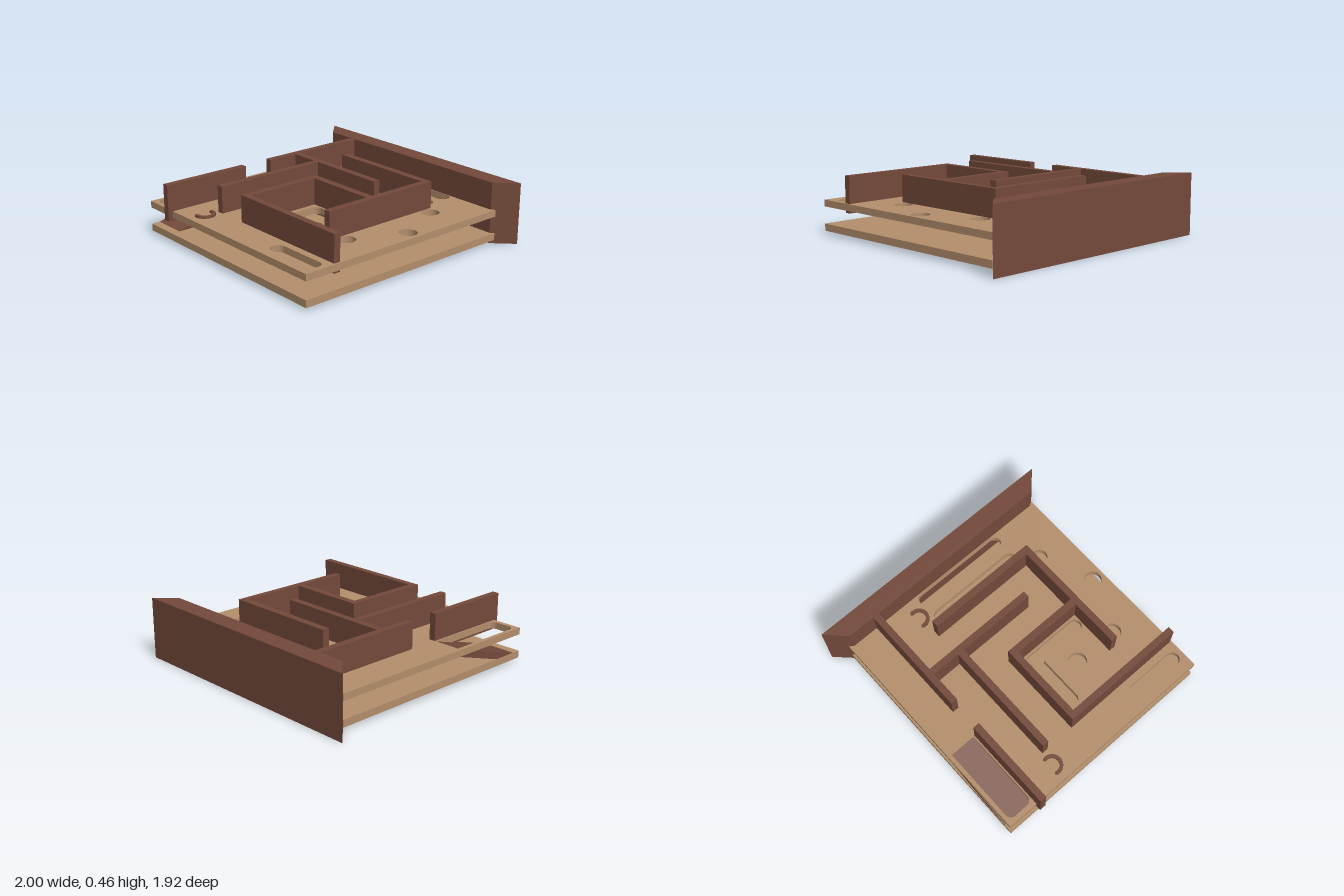
import * as THREE from 'three';

const PI = Math.PI;

// Extrude a plan drawn in (x, z) downwards from the given top height
function plate(shape, top, depth) {
  const geo = new THREE.ExtrudeGeometry(shape, { depth, bevelEnabled: false, curveSegments: 20 });
  geo.rotateX(PI / 2);
  geo.translate(0, top, 0);
  return geo;
}

function rect(x0, x1, z0, z1) {
  return new THREE.Shape([[x0, z0], [x1, z0], [x1, z1], [x0, z1]].map(p => new THREE.Vector2(...p)));
}

// Round-ended slot running along x
function slot(x0, x1, z0, z1) {
  const r = (z1 - z0) / 2, z = (z0 + z1) / 2, p = new THREE.Path();
  p.absarc(x1 - r, z, r, -PI / 2, PI / 2, false);
  p.absarc(x0 + r, z, r, PI / 2, PI * 1.5, false);
  p.closePath();
  return p;
}

function circle(x, z, r) {
  const p = new THREE.Path();
  p.absarc(x, z, r, 0, PI * 2, false);
  return p;
}

export function createModel() {
  const group = new THREE.Group();
  const lightWood = new THREE.MeshStandardMaterial({ color: 0xb48f6c });
  lightWood.name = 'lightWood';
  const darkWood = new THREE.MeshStandardMaterial({ color: 0x744a3b });
  darkWood.name = 'darkWood';
  const add = (name, geo, mat) => {
    const mesh = new THREE.Mesh(geo, mat);
    mesh.name = name;
    group.add(mesh);
  };

  // Lower board
  add('lowerBoard', plate(rect(-0.885, 0.885, -0.84, 0.92), 0.08, 0.053), lightWood);

  // Upper board with slots, round holes, an L-shaped slot and the ramp opening
  const upper = rect(-0.885, 0.885, -0.84, 0.92);
  upper.holes.push(
    slot(-0.28, 0.493, -0.812, -0.706),
    slot(-0.28, 0.493, -0.636, -0.53),
    slot(0.385, 0.845, 0.733, 0.84),
    circle(0.615, -0.45, 0.065), circle(0.793, -0.052, 0.065),
    circle(0.615, 0.346, 0.065), circle(0.27, 0.346, 0.07));
  const corner = new THREE.Path();
  corner.absarc(0.44, 0.13, 0.052, -PI / 2, PI / 2, false);
  corner.lineTo(0.095, 0.182);
  corner.absarc(0.042, 0.522, 0.053, 0, PI, false);
  corner.lineTo(-0.011, 0.13);
  corner.absarc(0.041, 0.13, 0.052, PI, PI * 1.5, false);
  corner.closePath();
  const opening = new THREE.Path();
  opening.moveTo(-0.855, 0.27);
  opening.lineTo(-0.655, 0.27);
  opening.absarc(-0.705, 0.835, 0.05, 0, PI / 2, false);
  opening.absarc(-0.805, 0.835, 0.05, PI / 2, PI, false);
  opening.closePath();
  upper.holes.push(corner, opening);
  add('upperBoard', plate(upper, 0.257, 0.05), lightWood);

  // Ramp between the boards: side profile in (-z, y) extruded across x
  const side = new THREE.Shape([[-0.86, 0.079], [-0.67, 0.079], [-0.27, 0.203], [-0.27, 0.256]]
    .map(p => new THREE.Vector2(...p)));
  const ramp = new THREE.ExtrudeGeometry(side, { depth: 0.262, bevelEnabled: false });
  ramp.rotateY(PI / 2);
  ramp.translate(-0.883, 0, 0);
  add('ramp', ramp, darkWood);

  // Maze walls, passing through the upper board: x0, x1, z0, z1
  const walls = [
    [-0.645, -0.595, -0.82, 0.037], [-0.645, -0.595, 0.268, 0.957],
    [-0.348, 0.5, -0.52, -0.466], [0.5, 0.55, -0.52, 0.438],
    [-0.595, 0.29, -0.257, -0.206], [-0.375, -0.325, -0.206, 0.68],
    [-0.098, 0.5, 0.01, 0.064], [-0.098, -0.048, 0.064, 0.63],
    [-0.098, 0.873, 0.63, 0.68],
  ];
  for (const w of walls) add('mazeWall', plate(rect(...w), 0.457, 0.269), darkWood);

  // Small curved stops with rounded ends, open towards -x
  for (const [x, z] of [[-0.37, -0.667], [-0.382, 0.79]]) {
    const a = 1.75, r = 0.064, t = 0.013, s = new THREE.Shape();
    const end = k => [x + r * Math.cos(k), z + r * Math.sin(k)];
    s.absarc(x, z, r + t, -a, a, false);
    s.absarc(...end(a), t, a, a + PI, false);
    s.absarc(x, z, r - t, a, -a, true);
    s.absarc(...end(-a), t, -a + PI, -a + 2 * PI, false);
    add('curvedStop', plate(s, 0.272, 0.05), darkWood);
  }

  // Rear frame side with mitred ends
  const frame = new THREE.Shape([[-1, -0.96], [1, -0.96], [0.857, -0.818], [-0.857, -0.818]]
    .map(p => new THREE.Vector2(...p)));
  add('rearFrame', plate(frame, 0.46, 0.46), darkWood);

  return group;
}
